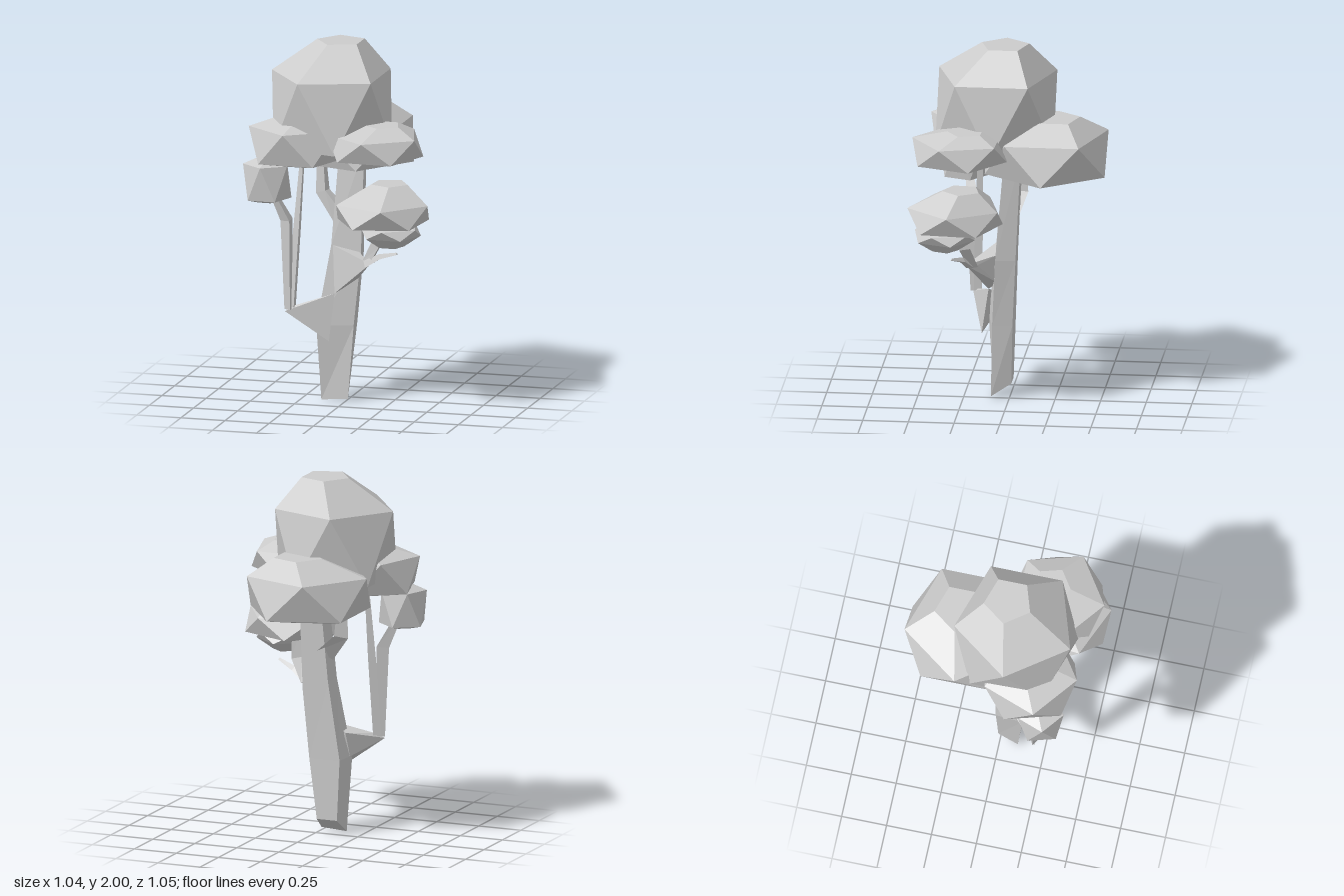
import * as THREE from 'three';
import { ConvexGeometry } from 'three/addons/geometries/ConvexGeometry.js';

const mat = new THREE.MeshStandardMaterial({ color: 0xcccccc, flatShading: true, side: THREE.DoubleSide });

function addMesh(group, name, geometry) {
  const mesh = new THREE.Mesh(geometry, mat);
  mesh.name = name;
  group.add(mesh);
}

// Closed skin over a list of equal-sized vertex rings, given from bottom to top
function loft(rings) {
  const n = rings[0].length;
  const index = [];
  for (let r = 0; r < rings.length - 1; r++) {
    for (let i = 0; i < n; i++) {
      const a = r * n + i, b = r * n + (i + 1) % n;
      index.push(a, b, b + n, a, b + n, a + n);
    }
  }
  const last = (rings.length - 1) * n;
  for (let i = 1; i < n - 1; i++) {
    index.push(0, i + 1, i, last, last + i, last + i + 1);
  }
  const g = new THREE.BufferGeometry();
  g.setAttribute('position', new THREE.Float32BufferAttribute(rings.flat(2), 3));
  g.setIndex(index);
  const flat = g.toNonIndexed();
  flat.computeVertexNormals();
  return flat;
}

// Three-sided limb through points [x, y, z, radius]
function limb(points) {
  const p = points.map(([x, y, z]) => new THREE.Vector3(x, y, z));
  const rings = points.map(([, , , radius], i) => {
    const dir = p[Math.min(i + 1, p.length - 1)].clone().sub(p[Math.max(i - 1, 0)]).normalize();
    const u = new THREE.Vector3(0, 0, 1).cross(dir).normalize();
    const v = dir.clone().cross(u);
    return [0, 1, 2].map((k) => {
      const a = k * Math.PI * 2 / 3;
      return p[i].clone().addScaledVector(u, radius * Math.cos(a))
        .addScaledVector(v, radius * Math.sin(a)).toArray();
    });
  });
  return loft(rings);
}

// Leaf clump: small top pentagon, two staggered wide pentagons, small base pentagon
function clump(x, z, radius, phase, [top, upper, lower, base]) {
  const pts = [];
  const ring = (y, r, deg, dx = 0, dz = 0) => {
    for (let i = 0; i < 5; i++) {
      const a = THREE.MathUtils.degToRad(deg + i * 72);
      pts.push(new THREE.Vector3(x + dx + r * Math.cos(a), y, z + dz + r * Math.sin(a)));
    }
  };
  ring(top, radius * 0.4, phase, radius * 0.11, -radius * 0.15);
  ring(upper, radius, phase);
  ring(lower, radius, phase + 36);
  ring(base, radius * 0.45, phase + 36);
  return new ConvexGeometry(pts);
}

export function createModel() {
  const tree = new THREE.Group();
  tree.name = 'tree';

  // Trunk: front left, front right, back right, back left at each level
  addMesh(tree, 'trunk', loft([
    [[-0.14, 0, 0.1], [0.01, 0.01, 0.1], [-0.01, 0.08, -0.01], [-0.13, 0.08, -0.01]],
    [[-0.16, 0.42, 0.13], [0.04, 0.42, 0.09], [0.03, 0.42, -0.02], [-0.15, 0.42, -0.02]],
    [[-0.09, 0.86, 0.08], [0.075, 0.8, 0.07], [0.06, 0.8, -0.04], [-0.09, 0.86, -0.04]],
    [[-0.06, 1.4, 0.02], [0.08, 1.4, 0.02], [0.07, 1.4, -0.07], [-0.05, 1.4, -0.07]],
  ]));

  // Wedge-shaped roots of the two main branches
  const wedge = (pts) => new ConvexGeometry(pts.map((q) => new THREE.Vector3(...q)));
  addMesh(tree, 'rightBranchRoot', wedge([
    [-0.08, 0.34, 0.16], [-0.16, 0.42, 0.1], [-0.06, 0.6, 0.12], [-0.15, 0.56, 0.06],
    [-0.31, 0.51, 0.23], [-0.26, 0.54, 0.2],
  ]));
  addMesh(tree, 'leftBranchRoot', wedge([
    [-0.06, 0.6, 0.12], [-0.08, 0.86, 0.08], [0.05, 0.67, 0.06], [0.06, 0.83, 0.06],
    [0.17, 0.8, 0.22], [0.13, 0.79, 0.16],
  ]));

  // Branches running up into the clumps
  const branches = {
    rightBranchInner: [[-0.275, 0.53, 0.2, 0.025], [-0.25, 0.95, 0.19, 0.025], [-0.22, 1.4, 0.18, 0.014]],
    rightBranchOuter: [[-0.29, 0.52, 0.22, 0.025], [-0.295, 1.02, 0.23, 0.04], [-0.38, 1.2, 0.26, 0.02]],
    leftBranchOuter: [[0.14, 0.79, 0.2, 0.025], [0.23, 0.845, 0.23, 0.018], [0.34, 0.88, 0.28, 0.008]],
    leftBranchUpper: [[0.14, 0.79, 0.18, 0.03], [0.21, 0.91, 0.22, 0.035], [0.22, 1.08, 0.24, 0.03]],
    upperBranch: [[-0.06, 1.02, 0, 0.06], [-0.17, 1.13, -0.05, 0.045], [-0.18, 1.4, -0.04, 0.025]],
  };
  for (const [name, points] of Object.entries(branches)) addMesh(tree, name, limb(points));

  // Foliage: centre x, centre z, radius, turn, heights
  const foliage = {
    crown: [-0.085, 0.08, 0.34, 36, [1.995, 1.82, 1.43, 1.39]],
    backClump: [-0.045, -0.2, 0.345, 36, [1.6, 1.5, 1.29, 1.25]],
    rightClump: [-0.25, 0.19, 0.265, 20, [1.6, 1.54, 1.36, 1.33]],
    rightLowClump: [-0.395, 0.28, 0.132, 20, [1.38, 1.34, 1.15, 1.13]],
    leftClump: [0.21, 0.25, 0.26, 20, [1.58, 1.53, 1.41, 1.39]],
    leftLowClump: [0.255, 0.27, 0.262, 5, [1.26, 1.16, 1.05, 1.03]],
    leftSmallClump: [0.315, 0.32, 0.165, 20, [1.06, 1.04, 0.99, 0.93]],
  };
  for (const [name, spec] of Object.entries(foliage)) addMesh(tree, name, clump(...spec));

  return tree;
}
